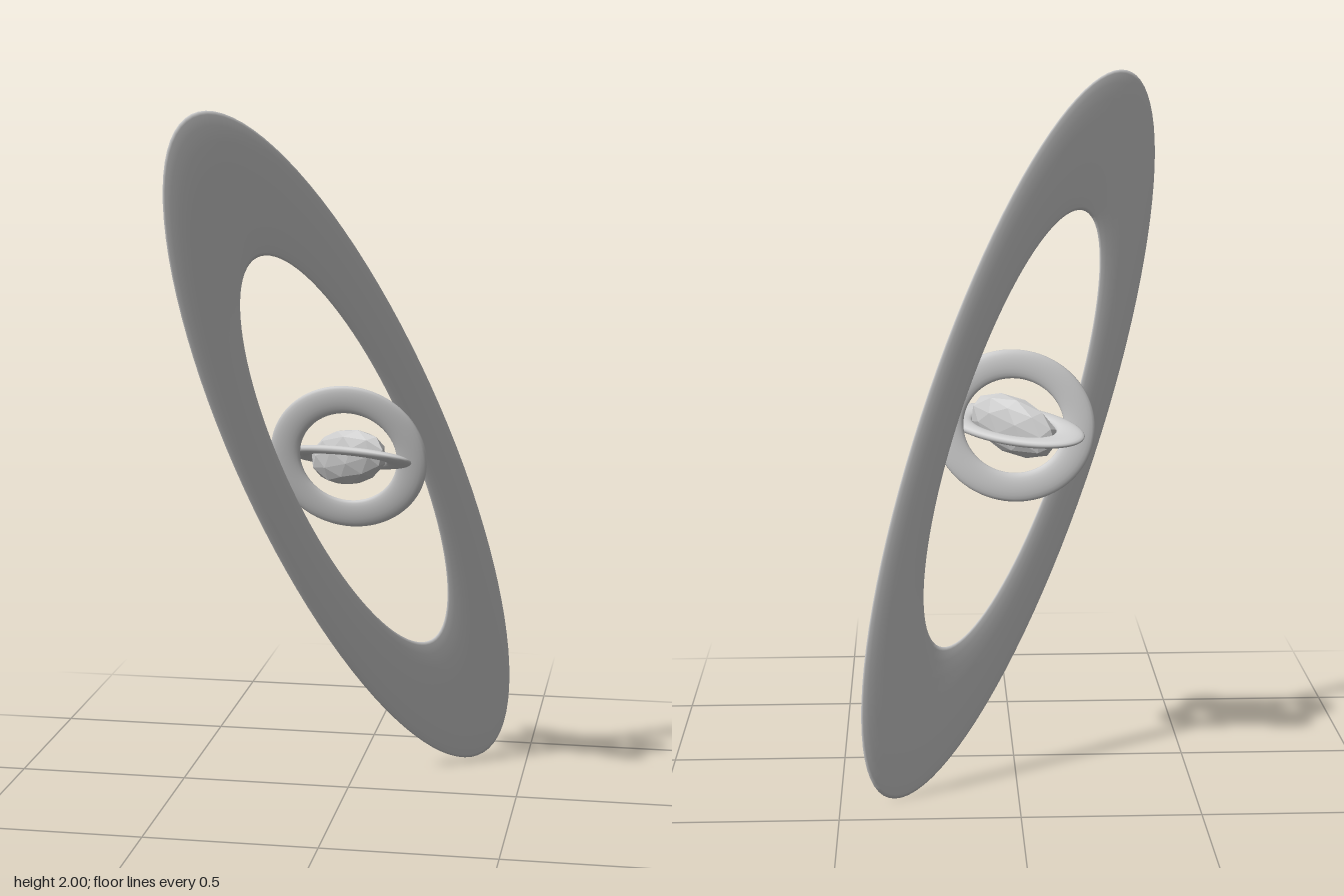
import * as THREE from 'three';

const material = new THREE.MeshStandardMaterial({ color: 0xcccccc, side: THREE.DoubleSide });
const vec = (a) => new THREE.Vector3(...a);

// Squashed torus: a and b are the two half-axes of its outer rim, half is its half thickness
function ring(name, a, b, half, inner) {
  const A = vec(a), B = vec(b);
  const N = A.clone().cross(B).normalize();
  const tube = (1 - inner) / 2;
  const geometry = new THREE.TorusGeometry(1 - tube, tube, 20, 96);
  geometry.applyMatrix4(new THREE.Matrix4().makeBasis(A, B, N.multiplyScalar(half / tube)));
  const mesh = new THREE.Mesh(geometry, material);
  mesh.name = name;
  return mesh;
}

export function createModel() {
  const model = new THREE.Group();
  model.name = 'ringedCore';

  // Three nested, tilted rings
  model.add(
    ring('outerRing', [0.29, 0, -0.205], [-0.33, 1, 0.335], 0.011, 0.6),
    ring('middleRing', [0.233, 0, 0.03], [0, 0.215, 0.045], 0.012, 0.62),
    ring('innerRing', [0.198, 0.01, 0.105], [0, 0.04, 0.085], 0.012, 0.6)
  );

  // Faceted, skewed core
  const geometry = new THREE.IcosahedronGeometry(1, 1);
  geometry.applyMatrix4(new THREE.Matrix4().makeBasis(
    vec([0.12, 0, 0.07]), vec([0.035, 0.088, 0.04]), vec([0, -0.01, 0.05])));
  const coreMaterial = material.clone();
  coreMaterial.flatShading = true;
  const core = new THREE.Mesh(geometry, coreMaterial);
  core.name = 'core';
  model.add(core);

  for (const part of model.children) part.position.y = 1;
  return model;
}
